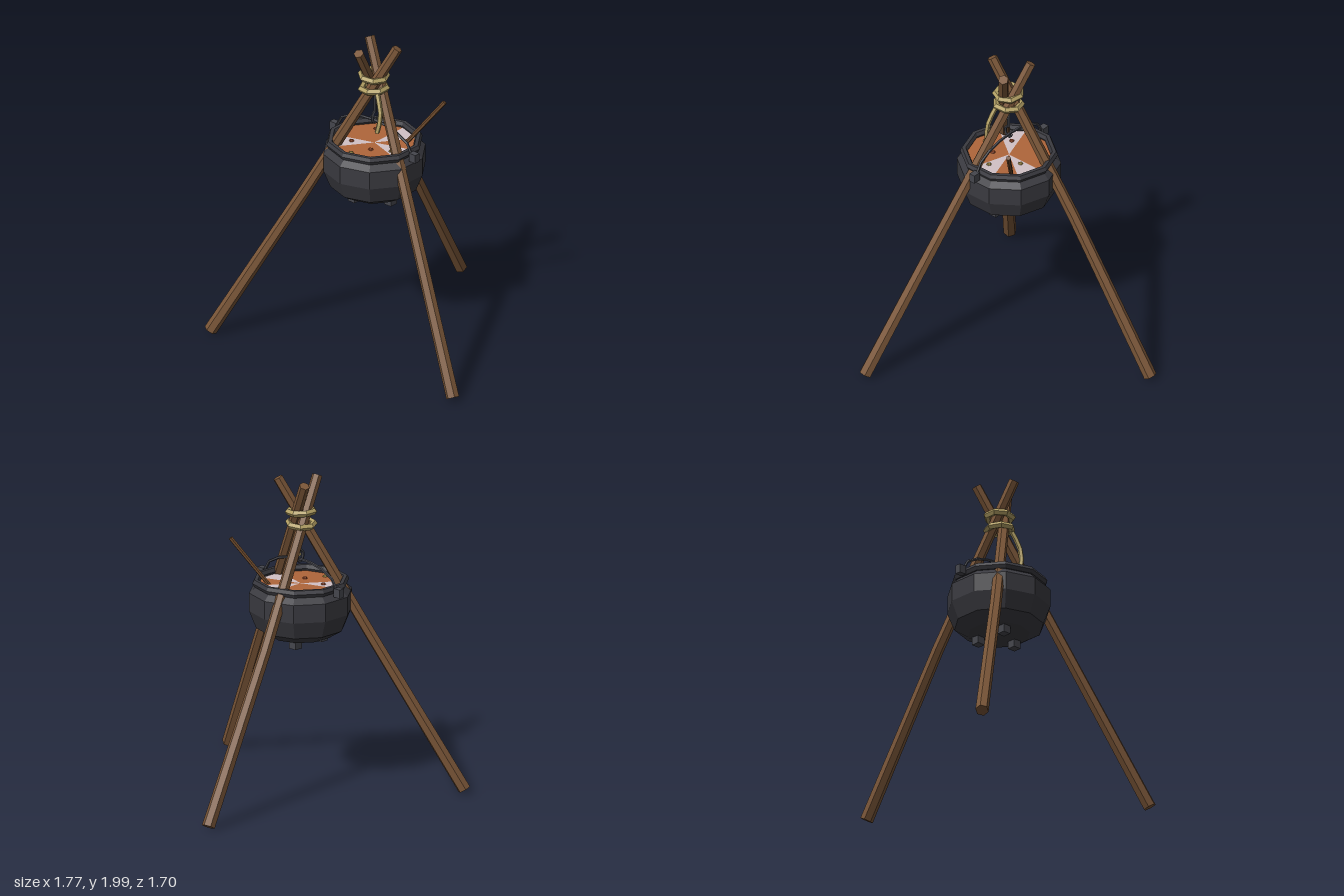
import * as THREE from 'three';

const mat = (name, color, side = THREE.FrontSide) =>
  Object.assign(new THREE.MeshStandardMaterial({ color, flatShading: true, side }), { name });
const V = (x, y, z) => new THREE.Vector3(x, y, z);

export function createModel() {
  const wood = mat('pole wood', 0x7a5638);
  const stick = mat('spoon wood', 0x6e4a2c);
  const iron = mat('cast iron', 0x3a3a40, THREE.DoubleSide);
  const steel = mat('wrought iron', 0x45464d);
  const rope = mat('rope', 0xb5a266);
  const soup = mat('soup', 0xb0663a, THREE.DoubleSide);
  const foam = mat('soup foam', 0xd2c2c6, THREE.DoubleSide);
  const carrot = mat('carrot', 0xa8502c);
  const herb = mat('potato', 0xb8a050);

  const root = new THREE.Group();
  root.name = 'campfireCauldron';
  const add = (parent, name, geo, material, pos) => {
    const m = new THREE.Mesh(geo, material);
    m.name = name;
    if (pos) m.position.copy(pos);
    parent.add(m);
    return m;
  };

  // Tapered rod between two points, with an optional kink at its middle
  const rod = (a, b, r0, r1, bend = V(0, 0, 0)) => {
    const dir = b.clone().sub(a), len = dir.length();
    const geo = new THREE.CylinderGeometry(r1, r0, len, 6, 2);
    const q = new THREE.Quaternion().setFromUnitVectors(V(0, 1, 0), dir.normalize());
    const mid = a.clone().add(b).multiplyScalar(0.5), p = geo.attributes.position, v = V(0, 0, 0);
    for (let i = 0; i < p.count; i++) {
      v.fromBufferAttribute(p, i);
      const centre = Math.abs(v.y) < len * 0.1;
      v.applyQuaternion(q).add(mid);
      if (centre) v.add(bend);
      p.setXYZ(i, v.x, v.y, v.z);
    }
    return geo;
  };
  const tube = (pts, r, n, sides = 5) =>
    new THREE.TubeGeometry(new THREE.CatmullRomCurve3(pts), n, r, sides);

  // Tripod
  add(root, 'rightPole', rod(V(-0.85, 0.028, 0.81), V(0.04, 1.98, 0.1), 0.041, 0.032, V(0.01, 0, 0)), wood);
  add(root, 'leftPole', rod(V(0.85, 0.028, 0.51), V(-0.2, 1.98, 0.085), 0.041, 0.032), wood);
  add(root, 'backPole', rod(V(-0.26, 0.028, -0.82), V(-0.095, 1.98, 0.305), 0.041, 0.032, V(-0.02, 0, 0)), wood);

  // Rope lashing and its loose end
  [1.78, 1.7].forEach((y, i) => {
    const ring = add(root, 'ropeRing', new THREE.TorusGeometry(0.08, 0.021, 5, 7), rope, V(-0.09, y, 0.17));
    ring.rotation.set(Math.PI / 2, i ? 0.06 : -0.06, i * 0.4);
  });
  add(root, 'ropeEnd', tube([V(-0.03, 1.7, 0.21), V(0.0, 1.64, 0.225), V(0.025, 1.56, 0.24), V(0.01, 1.455, 0.255)], 0.016, 4), rope);

  // Cauldron, all measured from its own axis
  const pot = new THREE.Group();
  pot.name = 'cauldron';
  pot.position.set(-0.09, 0, 0.165);
  root.add(pot);
  const lathe = (pts) => new THREE.LatheGeometry(pts.map(([x, y]) => new THREE.Vector2(x, y)), 10);
  add(pot, 'potBody', lathe([[0, 0.985], [0.19, 0.997], [0.275, 1.05], [0.318, 1.16], [0.318, 1.275], [0.275, 1.315]]), iron);
  const section = [];
  for (let i = 0; i <= 6; i++) {
    const a = i * Math.PI / 3;
    section.push([0.276 + 0.023 * Math.cos(a), 1.335 + 0.026 * Math.sin(a)]);
  }
  add(pot, 'potRim', lathe(section), iron);
  for (let i = 0; i < 3; i++) {
    const a = i * Math.PI * 2 / 3;
    add(pot, 'potFoot', new THREE.BoxGeometry(0.055, 0.06, 0.055), steel,
      V(0.13 * Math.cos(a), 0.975, 0.13 * Math.sin(a)));
  }

  // Soup surface in ten wedges, some of them pale
  const wedges = new THREE.CylinderGeometry(0.268, 0.268, 0, 10, 1, true);
  const rim = wedges.attributes.position;
  for (let k = 0; k < 10; k++) {
    const g = new THREE.BufferGeometry();
    g.setAttribute('position', new THREE.Float32BufferAttribute([
      0, 1.32, 0, rim.getX(k), 1.32, rim.getZ(k), rim.getX(k + 1), 1.32, rim.getZ(k + 1)], 3));
    g.computeVertexNormals();
    add(pot, 'soupWedge', g, [2, 4, 8].includes(k) ? foam : soup);
  }
  for (let i = 0; i < 6; i++) {
    const a = i * 2.4 + 0.5, r = 0.1 + 0.02 * i;
    const bit = add(pot, 'soupChunk', new THREE.IcosahedronGeometry(0.016, 0), i % 2 ? herb : carrot,
      V(r * Math.sin(a), 1.322, r * Math.cos(a)));
    bit.scale.y = 0.7;
  }

  // Ears, bail handle and hanging hook
  for (const s of [-1, 1])
    add(pot, 'handleEar', new THREE.BoxGeometry(0.05, 0.055, 0.04), steel, V(s * 0.322, 1.328, 0));
  const arc = [];
  for (let i = 0; i <= 8; i++) {
    const a = Math.PI * (1 - i / 8);
    arc.push(V(0.31 * Math.cos(a), 1.325 + 0.15 * Math.sin(a), 0));
  }
  add(pot, 'bailHandle', tube(arc, 0.009, 8), steel);
  add(pot, 'hangingRod', rod(V(0.005, 1.53, 0), V(0.005, 1.74, 0), 0.01, 0.01), steel);
  add(pot, 'hangingHook', tube([V(0.005, 1.54, 0), V(0.005, 1.51, 0.025), V(0.005, 1.465, 0.015),
    V(0.005, 1.462, -0.015), V(0.005, 1.49, -0.025)], 0.009, 8), steel);

  // Stirring stick
  add(root, 'stirringStick', rod(V(0.02, 1.27, 0.05), V(0.237, 1.6, -0.11), 0.013, 0.014), stick);
  return root;
}
